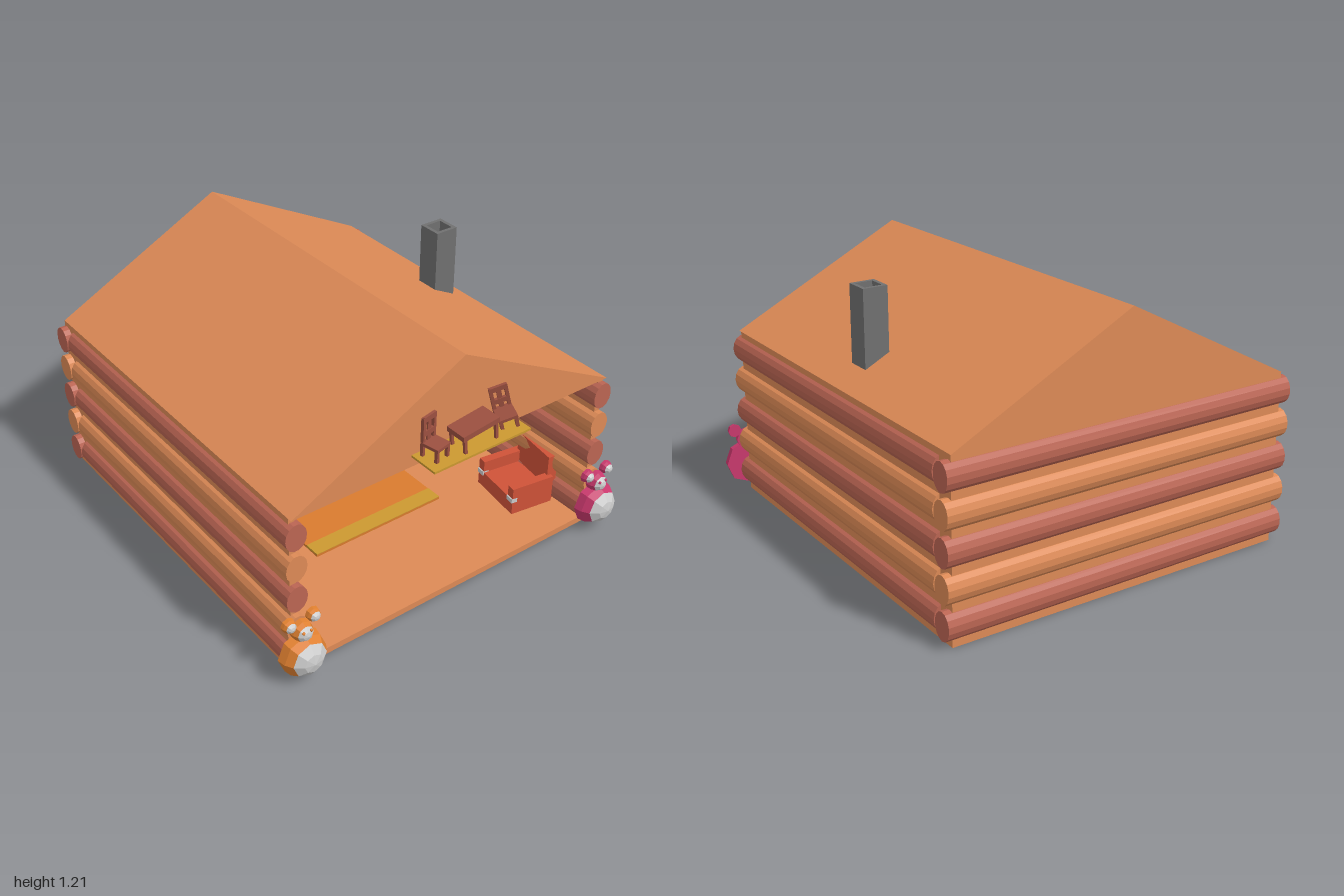
import * as THREE from 'three';

const COLORS = {
  orange: 0xdd8a56, red: 0xbb6553, grey: 0x707070, light: 0xcccccc, frame: 0x8c8c8c,
  pink: 0xcc5066, yellow: 0xcc9930, dark: 0x7d4034, brick: 0xcf5238, rug: 0xd97b2e,
  beige: 0xd6a070, violet: 0x8884d8, magenta: 0xc8386c, amber: 0xe08030, wood: 0x9c5040,
};
const materials = {};
for (const key in COLORS) {
  materials[key] = new THREE.MeshStandardMaterial({ color: COLORS[key], flatShading: true, side: THREE.DoubleSide });
}

function add(parent, name, geometry, color, x = 0, y = 0, z = 0) {
  const mesh = new THREE.Mesh(geometry, materials[color]);
  mesh.name = name;
  mesh.position.set(x, y, z);
  parent.add(mesh);
  return mesh;
}

// Box given by its minimum and maximum on each axis
function box(parent, name, color, x0, x1, y0, y1, z0, z1) {
  return add(parent, name, new THREE.BoxGeometry(x1 - x0, y1 - y0, z1 - z0), color,
    (x0 + x1) / 2, (y0 + y1) / 2, (z0 + z1) / 2);
}

function group(parent, name, x = 0, y = 0, z = 0) {
  const g = new THREE.Group();
  g.name = name;
  g.position.set(x, y, z);
  parent.add(g);
  return g;
}

// Floor, thin walls behind the logs, and the log stacks; the +x side stays open
function shell(root) {
  box(root, 'floor', 'orange', -0.97, 0.84, 0, 0.03, -0.82, 0.835);
  box(root, 'frontWall', 'orange', -0.97, 0.84, 0.03, 0.785, 0.805, 0.835);
  box(root, 'backWall', 'orange', -0.97, 0.84, 0.03, 0.785, -0.82, -0.79);
  box(root, 'endWall', 'orange', -0.97, -0.94, 0.03, 0.785, -0.79, 0.805);
  const logs = group(root, 'logs');
  for (let i = 0; i < 5; i++) {
    const y = 0.092 + i * 0.152;
    const color = i % 2 ? 'orange' : 'red';
    const longLog = new THREE.CylinderGeometry(1, 1, 1.755, 14).rotateZ(Math.PI / 2).scale(1, 0.063, 0.05);
    add(logs, 'frontLog', longLog, color, -0.0125, y, 0.817);
    add(logs, 'backLog', longLog, color, -0.0125, y, -0.803);
    const endLog = new THREE.CylinderGeometry(1, 1, 1.72, 14).rotateX(Math.PI / 2).scale(0.05, 0.063, 1);
    add(logs, 'endLog', endLog, color, -0.95, y, 0.006);
  }
}

function roof(root) {
  const gable = new THREE.Shape([[0.835, 0.785], [0.01, 1.207], [-0.82, 0.785]].map(([z, y]) => new THREE.Vector2(-z, y)));
  const geometry = new THREE.ExtrudeGeometry(gable, { depth: 1.83, bevelEnabled: false }).rotateY(Math.PI / 2);
  add(root, 'roof', geometry, 'orange', -0.97, 0, 0);
}

// Fireplace with a tapering hood and a hollow square flue
function fireplace(root) {
  const g = group(root, 'fireplace');
  box(g, 'hearth', 'grey', -0.32, 0.18, 0.03, 0.245, -0.79, -0.525);
  const hood = new THREE.BoxGeometry(0.5, 0.135, 0.265);
  const p = hood.attributes.position;
  for (let i = 0; i < p.count; i++) {
    if (p.getY(i) > 0) p.setXYZ(i, p.getX(i) * 0.22, p.getY(i), p.getZ(i) * 0.44 + 0.0165);
  }
  add(g, 'hood', hood, 'grey', -0.07, 0.3125, -0.6575);
  const square = (h) => [[-h, -h], [h, -h], [h, h], [-h, h]].map(([x, y]) => new THREE.Vector2(x, y));
  const ring = new THREE.Shape(square(0.057));
  ring.holes.push(new THREE.Path(square(0.04)));
  const flue = new THREE.ExtrudeGeometry(ring, { depth: 0.81, bevelEnabled: false }).rotateX(-Math.PI / 2);
  add(g, 'chimney', flue, 'grey', -0.073, 0.38, -0.642);
  picture(g, -0.014, 0.55, -0.645, 0.08, 0.08);
  box(g, 'chimneyTile', 'pink', -0.016, -0.006, 0.64, 0.68, -0.66, -0.62);
}

// Framed picture facing +x
function picture(parent, x, y, z, h, w) {
  const g = group(parent, 'picture', x, y, z);
  box(g, 'pictureFrame', 'frame', -0.01, 0.012, -h / 2, h / 2, -w / 2, w / 2);
  box(g, 'pictureCanvas', 'pink', 0, 0.016, -h * 0.38, h * 0.38, -w * 0.38, w * 0.38);
}

// Upright books along z, then a leaning one
function books(parent, y, z0, count, lean) {
  const g = group(parent, 'books', -0.82, y, z0);
  for (let i = 0; i < count; i++) {
    const h = 0.07 + 0.008 * (i % 2);
    add(g, 'book', new THREE.BoxGeometry(0.06, h, 0.018), i % 3 === 1 ? 'frame' : 'light', 0, h / 2, -i * 0.026)
      .rotation.x = i === lean ? 0.5 : 0;
  }
}

function wallItems(root) {
  box(root, 'upperShelf', 'red', -0.92, -0.77, 0.465, 0.488, -0.39, 0.42);
  box(root, 'lowerShelf', 'red', -0.92, -0.77, 0.312, 0.335, -0.39, 0.42);
  books(root, 0.488, 0.21, 5, -1);
  books(root, 0.335, -0.12, 3, 0);
  box(root, 'lyingBook', 'light', -0.86, -0.78, 0.335, 0.365, -0.275, -0.2);
  picture(root, -0.89, 0.615, 0.585, 0.1, 0.1);
  picture(root, -0.89, 0.475, 0.585, 0.14, 0.14);
  // Small shelves with boxes on the front wall
  for (const y of [0.465, 0.33]) {
    box(root, 'sideShelf', 'red', -0.4, 0.1, y, y + 0.022, 0.715, 0.81);
    box(root, 'storageBox', 'beige', -0.3, -0.05, y + 0.022, y + 0.095, 0.7, 0.79);
  }
  box(root, 'mirror', 'frame', -0.65, -0.4, 0.345, 0.7, -0.76, -0.72);
}

function furniture(root) {
  // Rug with a striped border
  box(root, 'rug', 'rug', -0.35, 0.355, 0.03, 0.042, -0.345, 0.36);
  for (const x of [-0.35, 0.275]) box(root, 'rugStripe', 'yellow', x, x + 0.08, 0.031, 0.045, -0.345, 0.36);

  // Armchair facing the front wall
  const chair = group(root, 'armchair', 0.53, 0.03, -0.67);
  chair.rotation.y = -0.15;
  box(chair, 'armchairSeat', 'brick', -0.12, 0.12, 0.01, 0.09, -0.1, 0.12);
  box(chair, 'armchairBack', 'brick', -0.12, 0.12, 0.01, 0.25, -0.13, -0.08);
  for (const s of [-1, 1]) {
    add(chair, 'armrest', new THREE.BoxGeometry(0.04, 0.14, 0.22), 'brick', s * 0.12, 0.08, 0.01);
    add(chair, 'armrestTrim', new THREE.BoxGeometry(0.042, 0.022, 0.03), 'light', s * 0.12, 0.085, 0.11);
  }

  // Side table and lamp
  const table = group(root, 'sideTable', -0.45, 0.03, 0.665);
  box(table, 'tableTop', 'dark', -0.12, 0.12, 0.14, 0.158, -0.075, 0.075);
  for (const x of [-0.11, 0.11]) for (const z of [-0.065, 0.065]) {
    add(table, 'tableLeg', new THREE.BoxGeometry(0.018, 0.14, 0.018), 'dark', x, 0.07, z);
  }
  add(table, 'lampBase', new THREE.CylinderGeometry(0.025, 0.03, 0.012, 8), 'red', 0, 0.164, 0);
  add(table, 'lampStem', new THREE.CylinderGeometry(0.01, 0.01, 0.1, 8), 'red', 0, 0.21, 0);
  add(table, 'lampShade', new THREE.CylinderGeometry(0.008, 0.045, 0.06, 8, 1, true), 'violet', 0, 0.28, 0);
}

// Little chair on the gable shelf, its back against the wall
function smallChair(parent, z, lean, turn) {
  const g = group(parent, 'smallChair', 0.915, 0.843, z);
  g.rotation.set(lean, turn, 0);
  box(g, 'chairSeat', 'wood', -0.04, 0.045, 0.05, 0.064, -0.04, 0.04);
  for (const s of [-1, 1]) {
    add(g, 'chairLeg', new THREE.BoxGeometry(0.014, 0.05, 0.014), 'wood', 0.036, 0.025, s * 0.032);
    add(g, 'chairPost', new THREE.BoxGeometry(0.014, 0.175, 0.014), 'wood', -0.035, 0.0875, s * 0.032);
  }
  for (const y of [0.1, 0.165]) box(g, 'chairRail', 'wood', -0.04, -0.028, y - 0.012, y + 0.012, -0.035, 0.035);
  box(g, 'chairSlat', 'wood', -0.038, -0.03, 0.06, 0.17, -0.01, 0.01);
}

function gableShelf(root) {
  const g = group(root, 'gableShelf');
  box(g, 'shelfBoard', 'yellow', 0.86, 1, 0.832, 0.842, -0.235, 0.265);
  smallChair(g, 0.195, 0, 0.2);
  smallChair(g, -0.185, 0.3, -0.4);
  const table = group(g, 'smallTable', 0.935, 0.842, 0.008);
  table.rotation.x = 0.12;
  box(table, 'smallTableTop', 'wood', -0.05, 0.05, 0.075, 0.1, -0.093, 0.093);
  for (const x of [-0.04, 0.04]) for (const z of [-0.08, 0.08]) {
    add(table, 'smallTableLeg', new THREE.BoxGeometry(0.013, 0.078, 0.013), 'wood', x, 0.038, z);
  }
}

// Faceted half ball facing +x: coloured rim and grey front
function halfBall(parent, name, color, r, depth, y, z) {
  const part = (from, to, rows) => new THREE.SphereGeometry(r, 8, rows, 0, Math.PI * 2, from, to - from)
    .rotateZ(-Math.PI / 2).scale(depth / r, 1, 1);
  add(parent, name + 'Front', part(0, 0.85, 2), 'light', 0, y, z);
  add(parent, name + 'Rim', part(0.85, Math.PI / 2, 1), color, 0, y, z);
  add(parent, name + 'Back', new THREE.CircleGeometry(r, 8).rotateY(-Math.PI / 2), color, 0, y, z);
}

function bear(root, color, z) {
  const g = group(root, 'cornerBear', 0.865, 0, z);
  halfBall(g, 'body', color, 0.107, 0.108, 0.13, 0);
  halfBall(g, 'head', color, 0.05, 0.065, 0.245, 0);
  for (const s of [-1, 1]) {
    halfBall(g, 'ear', color, 0.032, 0.045, 0.295, s * 0.058);
    add(g, 'eye', new THREE.SphereGeometry(0.007, 6, 4), color, 0.055, 0.265, s * 0.018);
  }
}

export function createModel() {
  const root = new THREE.Group();
  root.name = 'logCabin';
  shell(root);
  roof(root);
  fireplace(root);
  wallItems(root);
  furniture(root);
  gableShelf(root);
  bear(root, 'amber', 0.81);
  bear(root, 'magenta', -0.815);
  return root;
}
